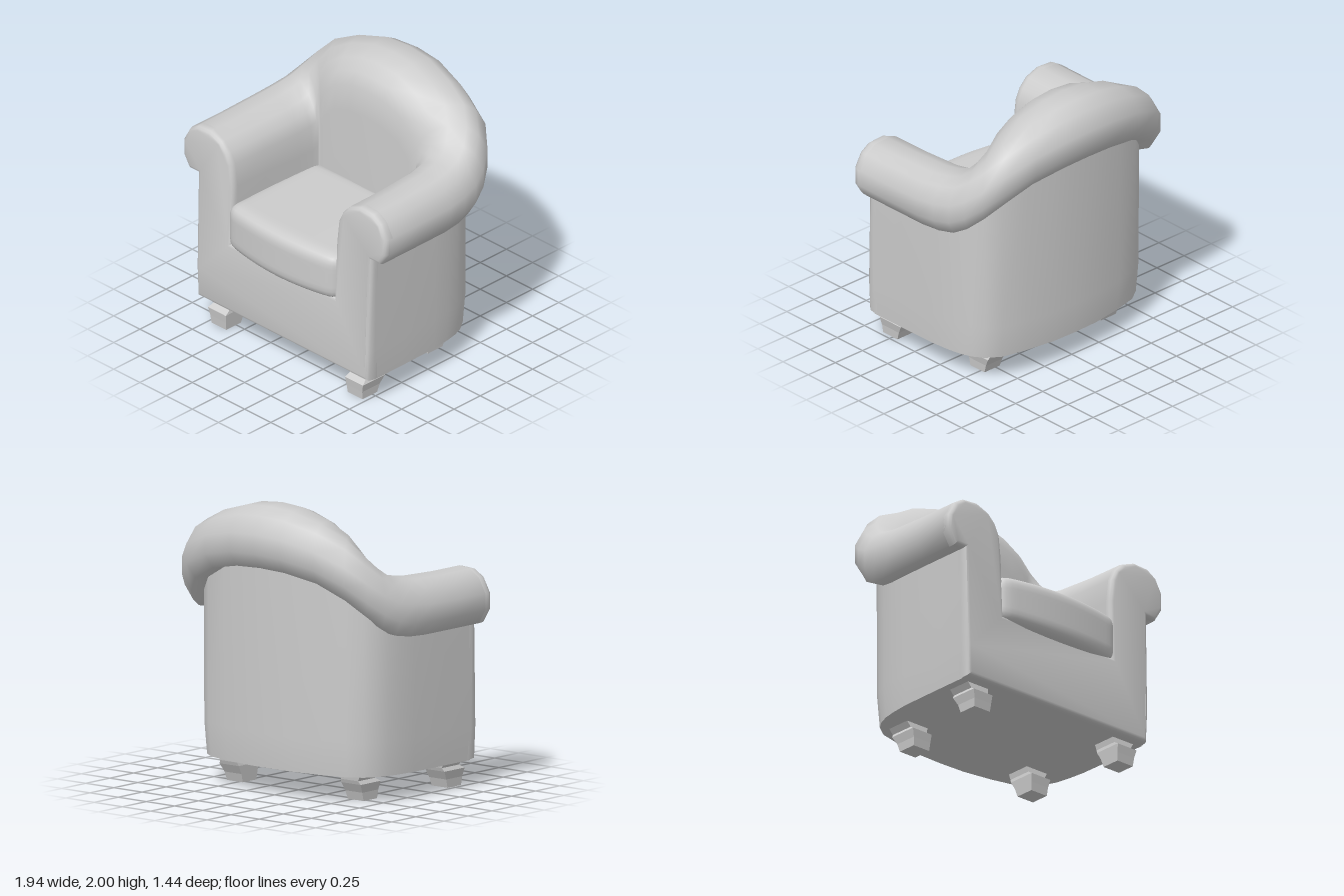
import * as THREE from 'three';
import { mergeVertices, toCreasedNormals } from 'three/addons/utils/BufferGeometryUtils.js';

const BASE_Y = 0.185, SEAT_Y = 0.6;

// Half of the U-shaped sweep: outer x,z, inner x,z, roll top, roll bottom
const HALF = [
  [0.97, 0.58, 0.49, 0.58, 1.51, 1.14],
  [0.97, 0.3, 0.485, 0.3, 1.51, 1.14],
  [0.97, 0, 0.47, 0, 1.52, 1.14],
  [0.955, -0.15, 0.46, -0.11, 1.54, 1.145],
  [0.93, -0.28, 0.455, -0.155, 1.57, 1.165],
  [0.89, -0.39, 0.45, -0.165, 1.63, 1.22],
  [0.82, -0.5, 0.44, -0.165, 1.72, 1.31],
  [0.7, -0.6, 0.4, -0.16, 1.83, 1.42],
  [0.48, -0.665, 0.3, -0.155, 1.92, 1.52],
  [0.22, -0.715, 0.15, -0.15, 1.985, 1.57],
  [0, -0.725, 0, -0.145, 2.0, 1.58],
];
const mirror = ([a, b, c, d, e, f]) => [-a, b, -c, d, e, f];
const STATIONS = [...HALF, ...HALF.slice(0, -1).reverse().map(mirror)];

// Roll section from the inner wall over the top to the underside:
// fraction across (inner to outer), fraction of the roll height
const ROLL = [
  [0, 0.05], [0.04, 0.5], [0.12, 0.72], [0.25, 0.89], [0.47, 1], [0.72, 0.98],
  [0.88, 0.85], [1, 0.57], [1, 0.25], [0.88, 0], [0.71, 0],
];

function at(st, s, t) {
  const [ox, oz, ix, iz, top, bottom] = st;
  return [ix + (ox - ix) * s, bottom + (top - bottom) * t, iz + (oz - iz) * s];
}

// Skin a list of equal-length rows of points
function loft(rows) {
  const n = rows[0].length, index = [];
  for (let i = 0; i < rows.length - 1; i++) {
    for (let j = 0; j < n - 1; j++) {
      const a = i * n + j, b = a + n;
      index.push(a, a + 1, b, a + 1, b + 1, b);
    }
  }
  const g = new THREE.BufferGeometry();
  g.setAttribute('position', new THREE.Float32BufferAttribute(rows.flat(2), 3));
  g.setIndex(index);
  g.computeVertexNormals();
  return g;
}

function moveVertices(g, rule) {
  const p = g.attributes.position, v = new THREE.Vector3();
  for (let i = 0; i < p.count; i++) {
    rule(v.fromBufferAttribute(p, i));
    p.setXYZ(i, v.x, v.y, v.z);
  }
  return g;
}

// Inner walls and the rolled rim of arms and back
function rimGeometry() {
  return loft(STATIONS.map((st) => {
    const [x, , z] = at(st, 0, 0);
    return [[x, SEAT_Y, z], ...ROLL.map(([s, t]) => at(st, s, t))];
  }));
}

const basePoint = (st) => {
  const [x, , z] = at(st, 0.71, 0);
  return [x * 0.98, BASE_Y, z < 0 ? z * 0.96 : z];
};

// Outer wall from under the roll to the base
function wallGeometry() {
  return loft(STATIONS.map((st) => {
    const [x, y, z] = at(st, 0.71, 0.03);
    return [[x, y, z], [x * 0.995, 0.42, z], basePoint(st)];
  }));
}

// Front face: two arm fronts joined by the apron below the cushion
function frontGeometry() {
  const half = [[0.815, 0.19], [0.826, 0.42],
    ...[...ROLL].reverse().map(([s, t]) => at(HALF[0], s, t).slice(0, 2)),
    [0.49, 0.73]];
  const outline = [...half, ...half.map(([x, y]) => [-x, y]).reverse()];
  const shape = new THREE.Shape(outline.map(([x, y]) => new THREE.Vector2(x, y)));
  const g = new THREE.ExtrudeGeometry(shape, {
    depth: 0.03, bevelThickness: 0.04, bevelSize: 0.03, bevelOffset: -0.03, bevelSegments: 3,
  });
  g.translate(0, 0, 0.555);
  moveVertices(g, (v) => { if (v.y < 0.8 && v.z > 0.6) v.z += 0.018; });
  return toCreasedNormals(g, 0.75);
}

function bottomGeometry() {
  const pts = STATIONS.map(basePoint).map(([x, , z]) => new THREE.Vector2(x, z));
  return new THREE.ShapeGeometry(new THREE.Shape(pts)).rotateX(Math.PI / 2).translate(0, BASE_Y, 0);
}

// Rounded cushion with a bowed front and a slight crown
function cushionGeometry() {
  const w = 0.53, h = 0.17, d = 0.43, r = 0.08;
  const box = new THREE.BoxGeometry(w * 2, h * 2, d * 2, 24, 10, 20);
  box.deleteAttribute('uv');
  box.deleteAttribute('normal');
  const g = mergeVertices(box);
  const core = new THREE.Vector3(), lim = new THREE.Vector3(w - r, h - r, d - r);
  moveVertices(g, (v) => {
    core.copy(v).clamp(lim.clone().negate(), lim);
    v.sub(core).setLength(r).add(core);
    const bow = 1 - (v.x / w) ** 2;
    if (v.z > 0) v.z += 0.065 * bow * (v.z / d);
    v.y += Math.sign(v.y) * 0.014 * bow;
  });
  g.translate(0, 0.865, 0.22);
  g.computeVertexNormals();
  return g;
}

// Faceted foot: y, x min, x max, z min, z max at each level
const FOOT = [
  [0, -0.07, 0.07, -0.065, 0.075],
  [0.06, -0.075, 0.075, -0.085, 0.082],
  [0.12, -0.08, 0.09, -0.12, 0.09],
  [0.145, -0.075, 0.075, -0.13, 0.05],
  [0.2, -0.085, 0.11, -0.14, 0.04],
];
function footGeometry() {
  const g = new THREE.BoxGeometry(1, 1, 1, 1, 4, 1).toNonIndexed();
  moveVertices(g, (v) => {
    const [y, x0, x1, z0, z1] = FOOT[Math.round((v.y + 0.5) * 4)];
    v.set(v.x < 0 ? x0 : x1, y, v.z < 0 ? z0 : z1);
  });
  g.computeVertexNormals();
  return g;
}

// Mirrored copy in x with the winding put right
function mirrorX(geometry) {
  const g = geometry.clone().scale(-1, 1, 1);
  const p = g.attributes.position, a = new THREE.Vector3(), b = new THREE.Vector3();
  for (let i = 0; i < p.count; i += 3) {
    a.fromBufferAttribute(p, i + 1);
    b.fromBufferAttribute(p, i + 2);
    p.setXYZ(i + 1, b.x, b.y, b.z);
    p.setXYZ(i + 2, a.x, a.y, a.z);
  }
  g.computeVertexNormals();
  return g;
}

export function createModel() {
  const chair = new THREE.Group();
  chair.name = 'armchair';
  const grey = new THREE.MeshStandardMaterial({ color: 0xcccccc });
  grey.name = 'light grey';
  const add = (name, geometry) => {
    const mesh = new THREE.Mesh(geometry, grey);
    mesh.name = name;
    chair.add(mesh);
    return mesh;
  };

  add('rolledArmsAndBack', rimGeometry());
  add('outerWall', wallGeometry());
  add('frontPanel', frontGeometry());
  add('bottom', bottomGeometry());
  add('seatCushion', cushionGeometry());

  // Four feet, the rear pair set closer together
  const left = footGeometry(), right = mirrorX(left);
  for (const [row, x, z] of [['front', 0.65, 0.52], ['back', 0.535, -0.22]]) {
    add(row + 'LeftFoot', left).position.set(x, 0, z);
    add(row + 'RightFoot', right).position.set(-x, 0, z);
  }
  return chair;
}
